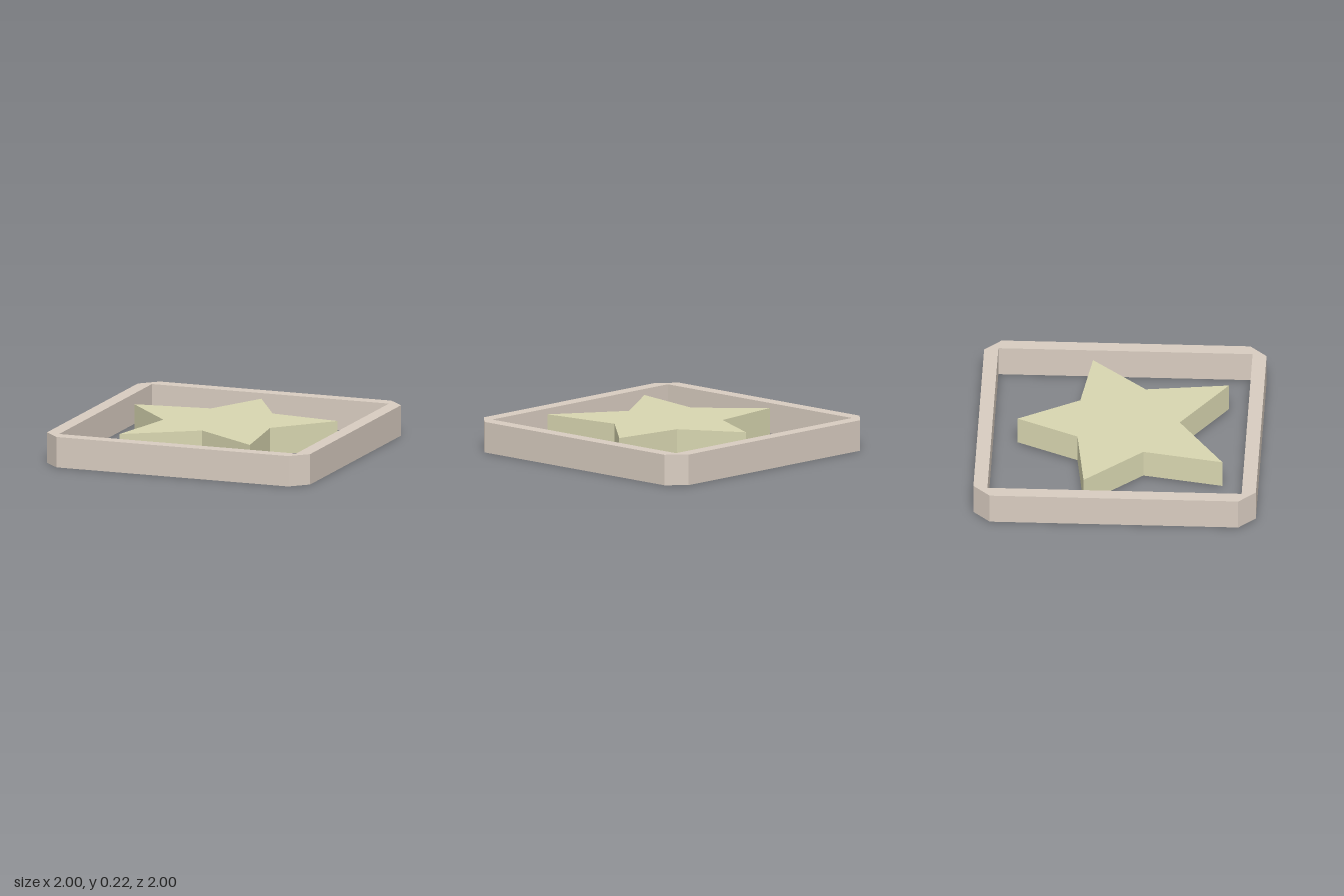
import * as THREE from 'three';

const frameMaterial = new THREE.MeshStandardMaterial({ color: 0xd8ccc0, side: THREE.DoubleSide, flatShading: true });
frameMaterial.name = 'warm grey';
const starMaterial = new THREE.MeshStandardMaterial({ color: 0xd8d6b0, side: THREE.DoubleSide, flatShading: true });
starMaterial.name = 'pale olive';

const TOP = 0.22;

// Flat lid over an outline, with an optional hole
function lid(name, outline, hole, material) {
  const toVectors = (pts) => pts.map(([x, y]) => new THREE.Vector2(x, y));
  const shape = new THREE.Shape(toVectors(outline));
  if (hole) shape.holes.push(new THREE.Path(toVectors(hole)));
  const mesh = new THREE.Mesh(new THREE.ShapeGeometry(shape).rotateX(-Math.PI / 2).translate(0, TOP, 0), material);
  mesh.name = name;
  return mesh;
}

// Upright walls along a closed outline; counter-clockwise outlines face outward
function walls(name, outline, bottom, material) {
  const positions = [];
  outline.forEach(([ax, ay], i) => {
    const [bx, by] = outline[(i + 1) % outline.length];
    positions.push(ax, bottom, -ay, bx, bottom, -by, bx, TOP, -by);
    positions.push(ax, bottom, -ay, bx, TOP, -by, ax, TOP, -ay);
  });
  const geometry = new THREE.BufferGeometry();
  geometry.setAttribute('position', new THREE.Float32BufferAttribute(positions, 3));
  geometry.computeVertexNormals();
  const mesh = new THREE.Mesh(geometry, material);
  mesh.name = name;
  return mesh;
}

export function createModel() {
  const model = new THREE.Group();
  model.name = 'starCutter';

  // Square frame with chamfered corners, hollow and open underneath
  const c = 0.88, h = 0.9;
  const outer = [[c, -1], [1, -c], [1, c], [c, 1], [-c, 1], [-1, c], [-1, -c], [-c, -1]];
  const inner = [[-h, -h], [-h, h], [h, h], [h, -h]];
  const frame = new THREE.Group();
  frame.name = 'frame';
  frame.add(
    lid('frameTop', outer, inner, frameMaterial),
    walls('frameOuterWalls', outer, 0, frameMaterial),
    walls('frameInnerWalls', inner, 0, frameMaterial),
  );

  // Slightly uneven five-pointed star, open underneath
  const outline = [
    [0, 0.725], [-0.213, 0.292], [-0.77, 0.225], [-0.39, -0.182], [-0.5, -0.747],
    [0, -0.423], [0.49, -0.75], [0.415, -0.165], [0.775, 0.224], [0.255, 0.292],
  ];
  const star = new THREE.Group();
  star.name = 'star';
  star.add(
    lid('starTop', outline, null, starMaterial),
    walls('starWalls', outline, 0.02, starMaterial),
  );

  model.add(frame, star);
  return model;
}
